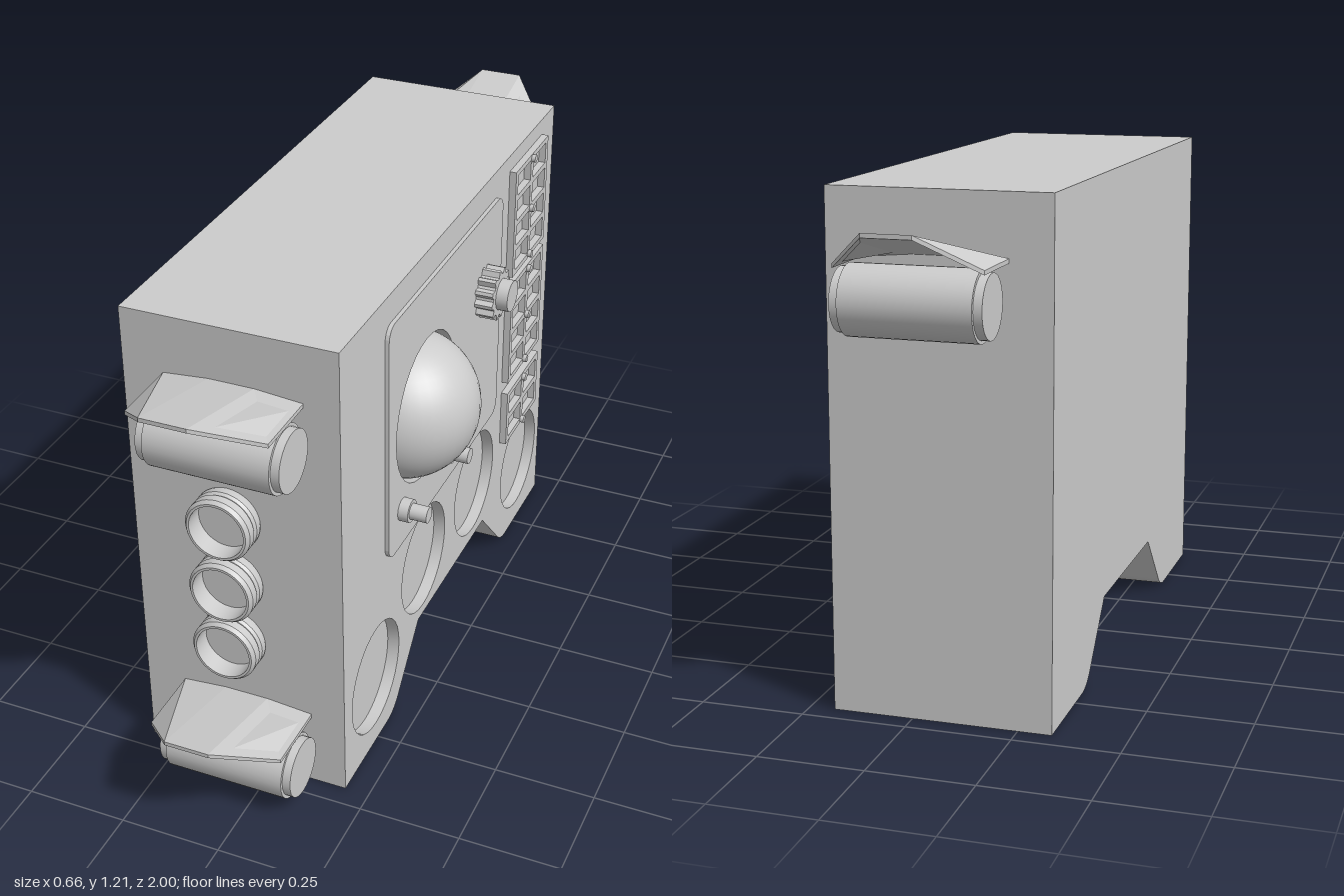
import * as THREE from 'three';
import { toCreasedNormals } from 'three/addons/utils/BufferGeometryUtils.js';

const material = new THREE.MeshStandardMaterial({ color: 0xcccccc, side: THREE.DoubleSide });

function add(parent, name, geometry, x = 0, y = 0, z = 0) {
  const mesh = new THREE.Mesh(geometry, material);
  mesh.name = name;
  mesh.position.set(x, y, z);
  parent.add(mesh);
  return mesh;
}

// Extrude a (-z, y) outline along x, from x0 to x1
function slab(shape, x0, x1) {
  const g = new THREE.ExtrudeGeometry(shape, { depth: x1 - x0, bevelEnabled: false, curveSegments: 16 });
  return toCreasedNormals(g.rotateY(Math.PI / 2).translate(x0, 0, 0), 0.6);
}

// Cylinder lying along x, from x0 to x1
function rod(r, x0, x1, segments = 32) {
  return new THREE.CylinderGeometry(r, r, x1 - x0, segments).rotateZ(-Math.PI / 2).translate((x0 + x1) / 2, 0, 0);
}

function circle(z, y, r) {
  return new THREE.Path().absarc(-z, y, r, 0, Math.PI * 2, true);
}

function rect(Kind, u0, y0, u1, y1) {
  const p = new Kind();
  p.moveTo(u0, y0).lineTo(u1, y0).lineTo(u1, y1).lineTo(u0, y1).closePath();
  return p;
}

function bodyShape() {
  const s = new THREE.Shape();
  s.moveTo(-0.7, 0).lineTo(-0.44, 0);
  s.quadraticCurveTo(-0.395, 0, -0.365, 0.035);
  s.lineTo(-0.235, 0.175).lineTo(0.235, 0.175).lineTo(0.365, 0.035);
  s.quadraticCurveTo(0.395, 0, 0.44, 0);
  s.lineTo(0.7, 0).lineTo(0.7, 1.21).lineTo(-0.7, 1.21).closePath();
  return s;
}

function roundedPanel(u0, y0, u1, y1, r) {
  const s = new THREE.Shape();
  s.absarc(u1 - r, y0 + r, r, -Math.PI / 2, 0);
  s.absarc(u1 - r, y1 - r, r, 0, Math.PI / 2);
  s.absarc(u0 + r, y1 - r, r, Math.PI / 2, Math.PI);
  s.absarc(u0 + r, y0 + r, r, Math.PI, Math.PI * 1.5);
  s.closePath();
  return s;
}

// Folded plate: a raised centre strip with drooping sides, tapering to the tip
function shadeGeometry() {
  const top = [
    [-0.23, 0.005, 0.7], [-0.12, 0.015, 0.7], [-0.01, 0.015, 0.7], [0.105, 0.005, 0.7],
    [0.105, 0.005, 0.87], [-0.01, 0.09, 1], [-0.12, 0.09, 1], [-0.23, 0.005, 0.87],
  ];
  const faces = [[0, 7, 6, 1], [1, 6, 5, 2], [2, 5, 4, 3]];
  const pos = [];
  const quad = (a, b, c, d) => pos.push(...a, ...b, ...c, ...a, ...c, ...d);
  const low = top.map(([x, y, z]) => [x, y - 0.01, z]);
  for (const [a, b, c, d] of faces) {
    quad(top[a], top[b], top[c], top[d]);
    quad(low[d], low[c], low[b], low[a]);
  }
  top.forEach((p, i) => {
    const j = (i + 1) % top.length;
    quad(p, top[j], low[j], low[i]);
  });
  const g = new THREE.BufferGeometry();
  g.setAttribute('position', new THREE.Float32BufferAttribute(pos, 3));
  g.computeVertexNormals();
  return g;
}

// Tube lamp under a folded shade; y is the lamp axis height
function shadedLamp(parent, name, y, side) {
  const lamp = new THREE.Group();
  lamp.name = name;
  lamp.position.y = y;
  lamp.scale.z = side;
  add(lamp, 'lampTube', rod(0.08, -0.2, 0.1), 0, 0, 0.785);
  add(lamp, 'lampEndCaps', rod(0.072, -0.22, 0.12), 0, 0, 0.785);
  add(lamp, 'lampBracket', new THREE.BoxGeometry(0.2, 0.03, 0.03), -0.05, 0.01, 0.705);
  add(lamp, 'lampShade', shadeGeometry(), 0, 0.085, 0);
  parent.add(lamp);
}

// Framed keypad with two columns of pockets and small screws down the middle
function keypad(parent, y0, y1, rows, screws) {
  const pad = new THREE.Group();
  pad.name = 'keypad';
  const frame = rect(THREE.Shape, 0.355, y0, 0.605, y1);
  const pitch = (y1 - y0 - 0.012) / rows;
  for (let i = 0; i < rows; i++) {
    const y = y0 + 0.006 + pitch * (i + 0.5);
    for (const u of [0.421, 0.538]) {
      frame.holes.push(rect(THREE.Path, u - 0.049, y - 0.028, u + 0.049, y + 0.028));
    }
  }
  add(pad, 'keypadFrame', slab(frame, 0.185, 0.208));
  for (const y of screws) add(pad, 'keypadScrew', rod(0.01, 0.19, 0.218, 12), 0, y, -0.48);
  parent.add(pad);
}

export function createModel() {
  const model = new THREE.Group();
  model.name = 'wallUnit';

  // Body: solid core plus a front skin pierced by shallow round recesses
  add(model, 'bodyCore', slab(bodyShape(), -0.33, 0.16));
  const skin = bodyShape();
  for (const [z, y] of [[0.51, 0.2], [0.203, 0.347], [-0.157, 0.347], [-0.525, 0.2]]) {
    skin.holes.push(circle(z, y, 0.145));
  }
  skin.holes.push(circle(0.225, 0.81, 0.186));
  add(model, 'bodySkin', slab(skin, 0.16, 0.19));

  // Raised control panel with a dome set in a socket
  const panel = roundedPanel(-0.455, 0.508, 0.285, 1.138, 0.035);
  panel.holes.push(circle(0.225, 0.81, 0.186));
  add(model, 'controlPanel', slab(panel, 0.19, 0.2));
  add(model, 'dome', new THREE.SphereGeometry(0.183, 40, 28), 0.143, 0.808, 0.223);

  // Toothed dial
  const gear = new THREE.Shape();
  const teeth = 12;
  for (let i = 0; i < teeth * 4; i++) {
    const a = ((i + 0.5) / (teeth * 4)) * Math.PI * 2;
    const r = i % 4 < 2 ? 0.067 : 0.055;
    gear[i ? 'lineTo' : 'moveTo'](Math.cos(a) * r, Math.sin(a) * r);
  }
  gear.closePath();
  add(model, 'dialGear', slab(gear, 0.195, 0.246), 0, 0.93, -0.157);
  add(model, 'dialCap', rod(0.04, 0.24, 0.276), 0, 0.93, -0.157);

  // Small knobs below the dome
  for (const z of [0.373, 0.1]) {
    add(model, 'knobBase', rod(0.029, 0.195, 0.225, 24), 0, 0.61, z);
    add(model, 'knobTip', rod(0.02, 0.22, 0.268, 24), 0, 0.61, z);
  }

  // Keypads
  keypad(model, 0.87, 1.167, 4, [1.155, 1.015, 0.882]);
  keypad(model, 0.55, 0.85, 4, [0.838, 0.7, 0.562]);
  keypad(model, 0.356, 0.516, 2, [0.503, 0.366]);

  // Round grooved sockets on the front
  const profile = [
    [0, 0.715], [0.068, 0.715], [0.068, 0.764], [0.074, 0.764], [0.081, 0.755], [0.081, 0.735], [0.076, 0.728],
    [0.081, 0.721], [0.081, 0.705], [0.076, 0.69],
  ].map(([r, z]) => new THREE.Vector2(r, z));
  const socket = toCreasedNormals(new THREE.LatheGeometry(profile.reverse(), 40).rotateX(Math.PI / 2), 0.5);
  for (const y of [0.72, 0.546, 0.378]) add(model, 'roundSocket', socket, -0.088, y, 0);

  // Shaded tube lamps: two in front, one behind
  shadedLamp(model, 'frontUpperLamp', 0.977, 1);
  shadedLamp(model, 'frontLowerLamp', 0.115, 1);
  shadedLamp(model, 'backLamp', 0.977, -1);

  return model;
}
